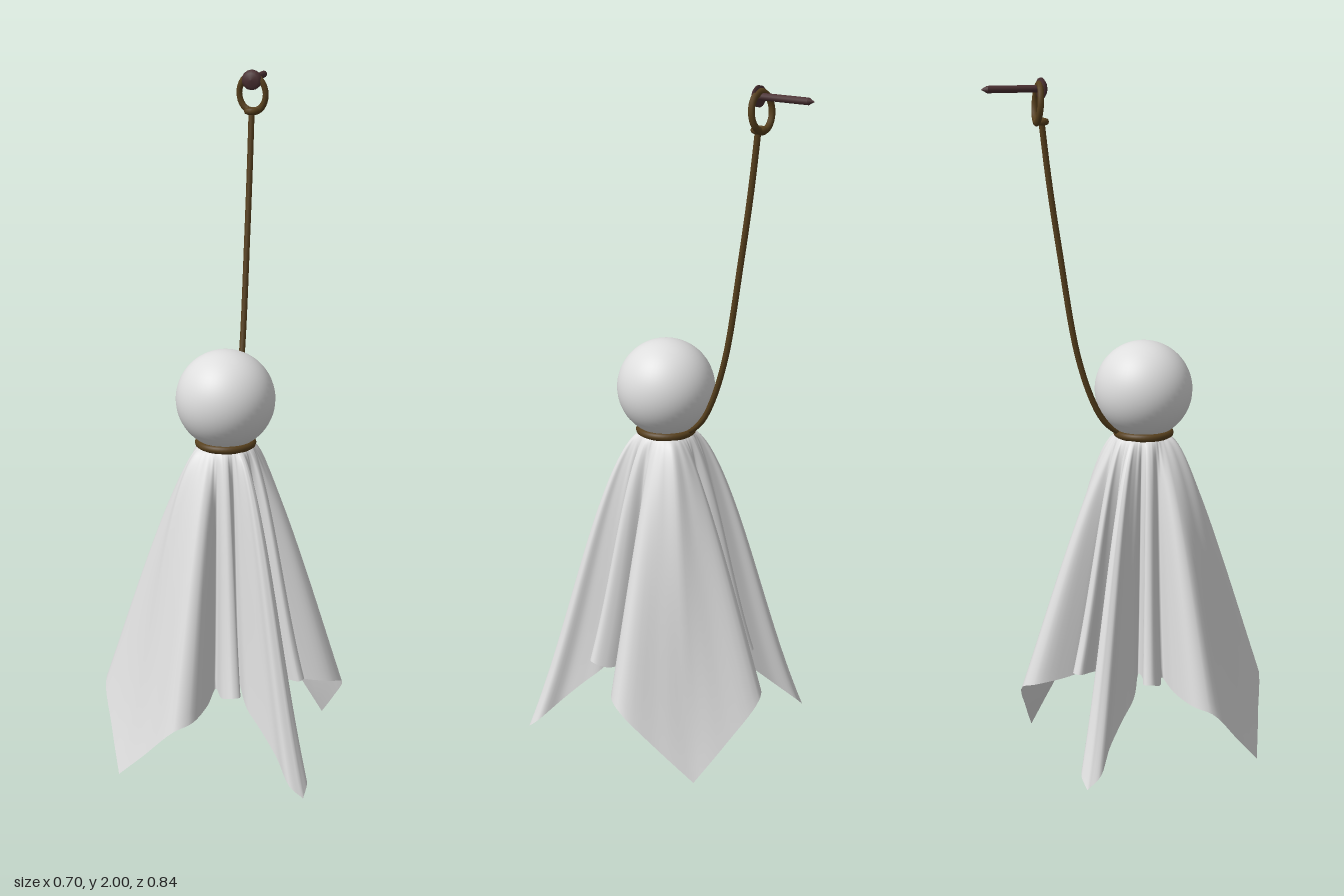
import * as THREE from 'three';

const CX = 0.01, CZ = 0.058; // hanging axis of the doll

export function createModel() {
  const group = new THREE.Group();
  const clothMat = new THREE.MeshStandardMaterial({ name: 'white cloth', color: 0xdedede, side: THREE.DoubleSide });
  const ropeMat = new THREE.MeshStandardMaterial({ name: 'brown rope', color: 0x57401d });
  const nailMat = new THREE.MeshStandardMaterial({ name: 'rusty iron', color: 0x4a3032 });

  function add(name, geometry, material, x = 0, y = 0, z = 0) {
    const mesh = new THREE.Mesh(geometry, material);
    mesh.name = name;
    mesh.position.set(x, y, z);
    group.add(mesh);
    return mesh;
  }

  // Head ball and the gathered cloth skirt
  add('head', new THREE.SphereGeometry(0.143, 48, 32), clothMat, CX, 1.106, CZ);
  add('skirt', skirtGeometry(), clothMat, CX, 0, CZ);

  // Cord tied round the neck
  const neck = add('neckCord', new THREE.TorusGeometry(0.077, 0.012, 10, 48), ropeMat, CX, 0.976, CZ);
  neck.rotation.x = Math.PI / 2;

  // Hanging rope from the back of the neck up to the knot
  const path = [[0.976, -0.005], [0.992, -0.035], [1.025, -0.07], [1.09, -0.105], [1.23, -0.15],
    [1.52, -0.2], [1.72, -0.23], [1.885, -0.25]];
  const ropeCurve = new THREE.CatmullRomCurve3(path.map(([y, z]) => new THREE.Vector3(CX, y, z)));
  add('rope', new THREE.TubeGeometry(ropeCurve, 48, 0.009, 8), ropeMat);
  const knot = add('knot', new THREE.TorusGeometry(0.013, 0.01, 8, 16), ropeMat, CX, 1.883, -0.252);
  knot.rotation.x = Math.PI / 2;

  // Loop over the nail
  const loop = add('ropeLoop', new THREE.TorusGeometry(0.041, 0.009, 8, 32), ropeMat, CX, 1.932, -0.26);
  loop.scale.y = 1.25;
  loop.rotation.set(0.08, -0.15, 0);

  // Nail: shaft, point and domed head, along z
  const shaft = add('nailShaft', new THREE.CylinderGeometry(0.01, 0.01, 0.165, 10), nailMat, CX, 1.972, -0.3225);
  shaft.rotation.x = Math.PI / 2;
  const tip = add('nailPoint', new THREE.ConeGeometry(0.01, 0.018, 10), nailMat, CX, 1.972, -0.414);
  tip.rotation.x = -Math.PI / 2;
  const headProfile = [[0, -0.006], [0.029, -0.006], [0.029, 0.003], [0.02, 0.01], [0, 0.013]]
    .map(([r, y]) => new THREE.Vector2(r, y));
  const nailHead = add('nailHead', new THREE.LatheGeometry(headProfile, 14), nailMat, CX, 1.972, -0.249);
  nailHead.rotation.x = Math.PI / 2;

  return group;
}

// Skirt: a quarter of the folded hem, mirrored four ways and drawn up to the neck circle
function skirtGeometry() {
  // [toward wide corner, height, toward narrow corner, angle at the neck, shoulder bulge]
  const quarter = [
    [0.368, 0, 0, 0, 1], [0.338, 0.1, 0.1, 11, 0.6], [0.297, 0.215, 0.208, 21, 0.15],
    [0.245, 0.235, 0.222, 28, 0.1], [0.165, 0.25, 0.175, 35, 0.4], [0.112, 0.27, 0.13, 42, 1.4],
    [0.132, 0.275, 0.2, 49, 0.8], [0.124, 0.29, 0.242, 54, 0.6], [0.1, 0.29, 0.248, 59, 0.6],
    [0.08, 0.285, 0.2, 64, 0.8], [0.045, 0.28, 0.152, 70, 1.4], [0.056, 0.23, 0.212, 75, 0.8],
    [0.043, 0.18, 0.27, 79, 0.6], [0.03, 0.12, 0.335, 83, 0.6], [0.03, 0.06, 0.405, 87, 0.6],
    [0, 0.025, 0.432, 90, 0.6],
  ];
  const curve = new THREE.CatmullRomCurve3(quarter.map(([u, y, v]) => new THREE.Vector3(u, y, v)));
  const spans = quarter.length - 1, perSpan = 5, steps = spans * perSpan;
  const samples = [];
  for (let k = 0; k <= steps; k++) {
    const p = curve.getPoint(k / steps);
    const i = Math.min(Math.floor(k / perSpan), spans - 1), s = k / perSpan - i;
    const a = THREE.MathUtils.degToRad(THREE.MathUtils.lerp(quarter[i][3], quarter[i + 1][3], s));
    const bulge = THREE.MathUtils.lerp(quarter[i][4], quarter[i + 1][4], s * s * (3 - 2 * s));
    samples.push({ u: p.x, y: p.y, v: p.z, nu: 0.073 * Math.cos(a), nv: 0.073 * Math.sin(a), bulge });
  }

  // Closed hem from the four mirrored quarters; the back flap sways a little to one side
  const hem = [];
  [[1, 1], [-1, 1], [-1, -1], [1, -1]].forEach(([su, sv], q) => {
    for (let k = 0; k < steps; k++) {
      const s = samples[q % 2 ? steps - k : k], u = s.u * su;
      const sway = 0.02 * THREE.MathUtils.smoothstep(u, 0.12, 0.28);
      hem.push({ u, y: s.y, v: s.v * sv - sway, nu: s.nu * su, nv: s.nv * sv, bulge: s.bulge });
    }
  });

  const rows = 36, n = hem.length, top = 0.97, pos = [], index = [];
  for (let r = -1; r <= rows; r++) {
    const t = Math.pow(Math.max(r, 0) / rows, 1.6); // rows crowd near the shoulder
    const plain = Math.pow(t, 0.8);
    const round = 0.8 * Math.sqrt(t) + 0.2 * Math.pow(t, 4); // full shoulder, flared hem
    for (const h of hem) {
      const f = THREE.MathUtils.lerp(plain, round, h.bulge);
      const u = THREE.MathUtils.lerp(h.nu, h.u, f), v = THREE.MathUtils.lerp(h.nv, h.v, f);
      const y = r < 0 ? 1.005 : THREE.MathUtils.lerp(top, h.y, t);
      pos.push((u + v) * Math.SQRT1_2, y, (v - u) * Math.SQRT1_2);
    }
  }
  for (let r = 0; r <= rows; r++) {
    for (let j = 0; j < n; j++) {
      const a = r * n + j, b = r * n + (j + 1) % n;
      index.push(a, b, a + n, b, b + n, a + n);
    }
  }
  const geometry = new THREE.BufferGeometry();
  geometry.setAttribute('position', new THREE.Float32BufferAttribute(pos, 3));
  geometry.setIndex(index);
  geometry.computeVertexNormals();
  return geometry;
}
